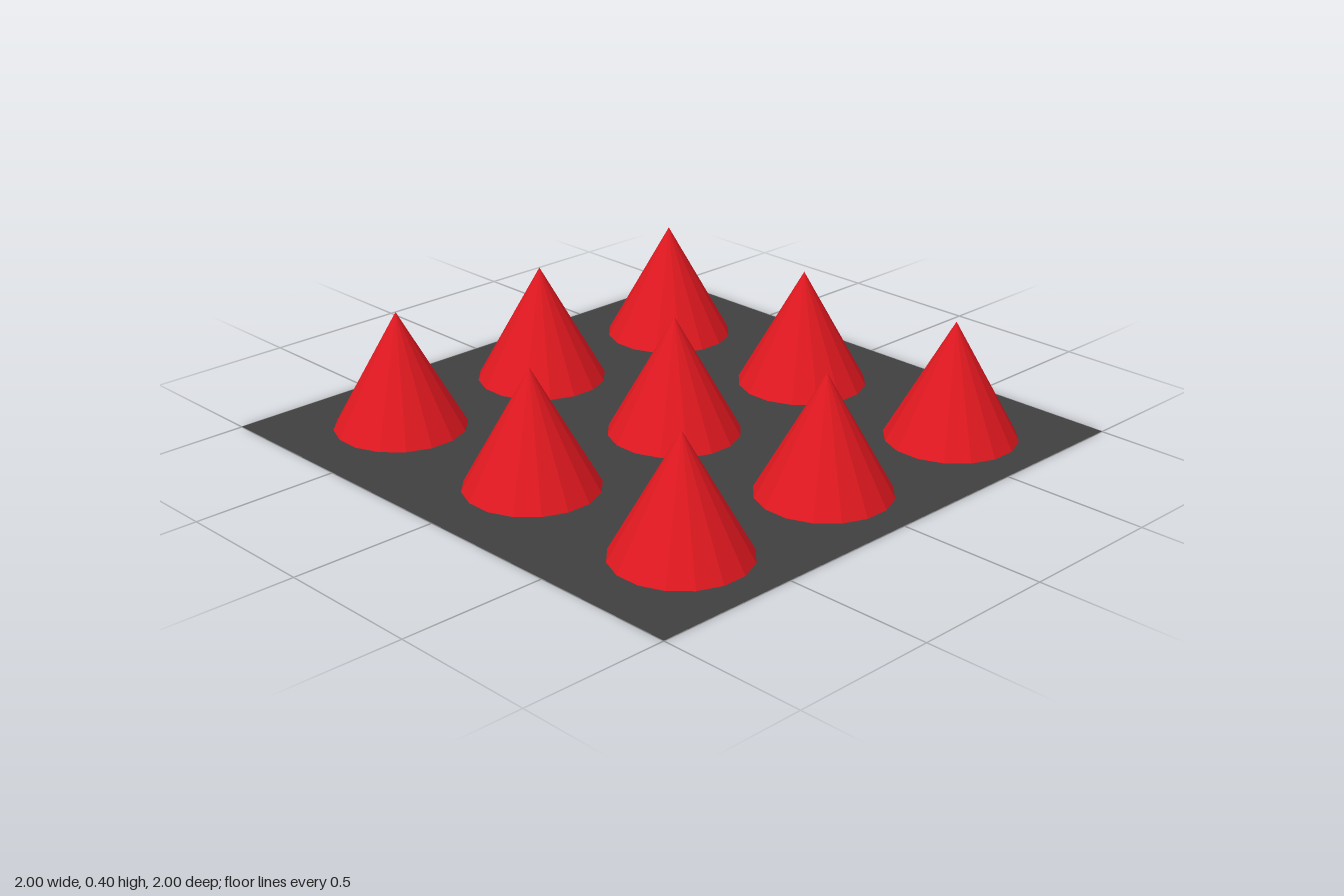
import * as THREE from 'three';

export function createModel() {
  const group = new THREE.Group();
  const grey = new THREE.MeshStandardMaterial({ color: 0x404040, side: THREE.DoubleSide });
  const red = new THREE.MeshStandardMaterial({ color: 0xe01820, flatShading: true });

  // Thin square sheet, a hair above the cone bases so these show from below
  const sheet = new THREE.Mesh(new THREE.PlaneGeometry(2, 2).rotateX(-Math.PI / 2), grey);
  sheet.name = 'baseSheet';
  sheet.position.y = 0.001;
  group.add(sheet);

  // Three by three grid of faceted cones, flat facet to the front
  const height = 0.4, sides = 16;
  const coneGeometry = new THREE.ConeGeometry(0.222, height, sides)
    .rotateY(Math.PI / sides)
    .translate(0, height / 2, 0);
  for (let row = -1; row <= 1; row++) {
    for (let col = -1; col <= 1; col++) {
      const cone = new THREE.Mesh(coneGeometry, red);
      cone.name = `cone_${row + 2}_${col + 2}`;
      cone.position.set(0.016 + col * 0.66, 0, row * 0.616);
      group.add(cone);
    }
  }
  return group;
}
